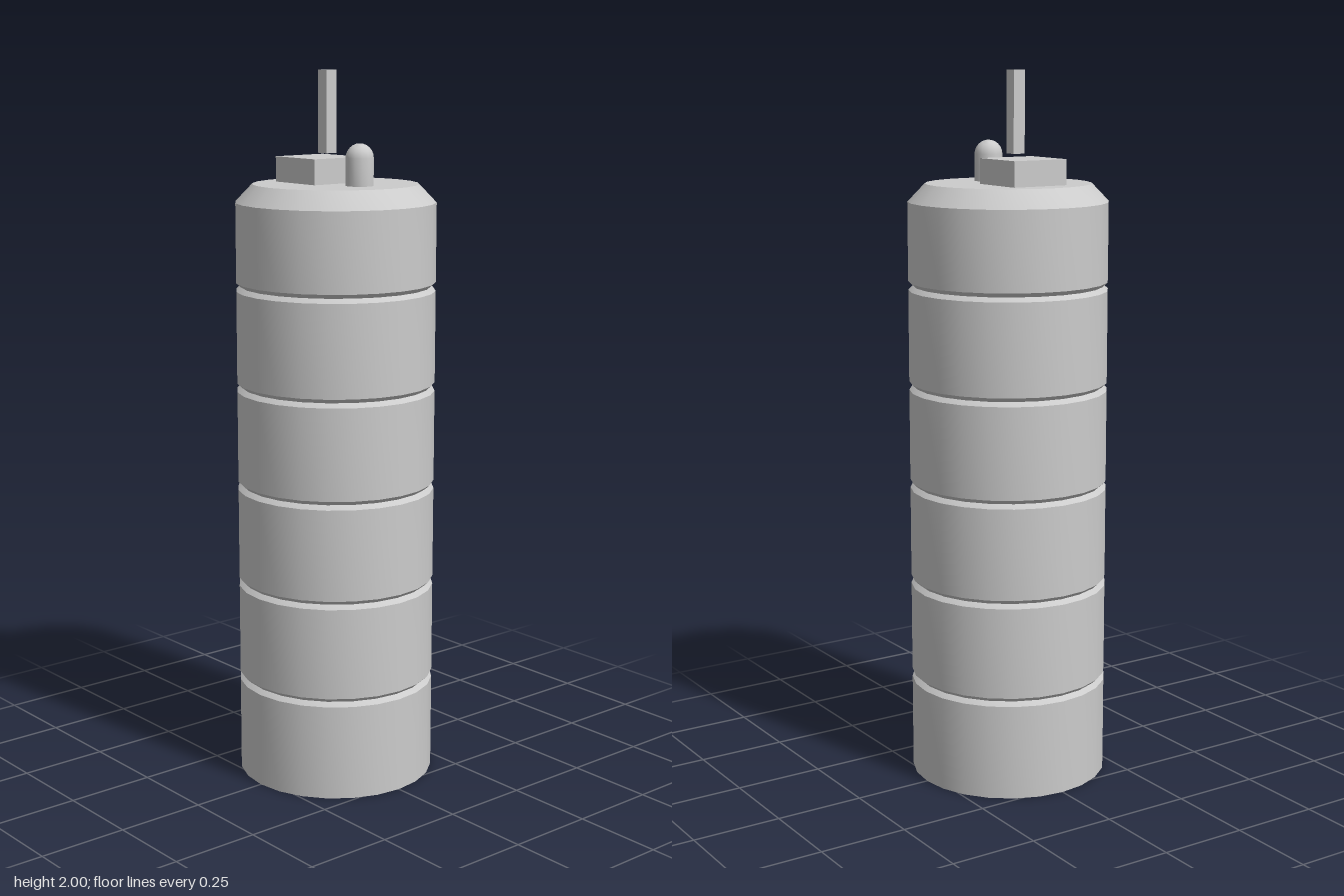
import * as THREE from 'three';
import { toCreasedNormals } from 'three/addons/utils/BufferGeometryUtils.js';

export function createModel() {
  const model = new THREE.Group();
  const material = new THREE.MeshStandardMaterial({ color: 0xcccccc, side: THREE.DoubleSide });

  const add = (name, geometry, x = 0, y = 0, z = 0) => {
    const mesh = new THREE.Mesh(geometry, material);
    mesh.name = name;
    mesh.position.set(x, y, z);
    model.add(mesh);
  };
  const lathe = (points, sides) => toCreasedNormals(
    new THREE.LatheGeometry(points.map(([r, y]) => new THREE.Vector2(r, y)), sides), 0.6);

  // Open-bottomed canister: six stacked sections parted by V grooves
  const radius = 0.279, height = 1.693, sections = 6, gap = 0.012;
  const profile = [[radius, 0]];
  for (let i = 1; i < sections; i++) {
    const y = (height / sections) * i;
    profile.push([radius, y - gap], [radius - 0.013, y], [radius, y + gap]);
  }
  // Bevelled shoulder and flat lid
  profile.push([radius, 1.643], [0.231, height], [0, height]);
  add('body', lathe(profile, 24));

  // Round-topped button on the lid
  const button = [[0.039, 0]];
  for (let i = 0; i <= 6; i++) {
    const a = (i / 6) * Math.PI / 2;
    button.push([0.039 * Math.cos(a), 0.075 + 0.039 * Math.sin(a)]);
  }
  add('button', lathe(button, 12), 0, height, 0.101);

  // Control block with a thin square antenna above it
  add('controlBlock', new THREE.BoxGeometry(0.17, 0.07, 0.17), 0, 1.728, -0.073);
  add('antenna', new THREE.BoxGeometry(0.036, 0.225, 0.036), 0, 1.8875, -0.036);

  return model;
}
